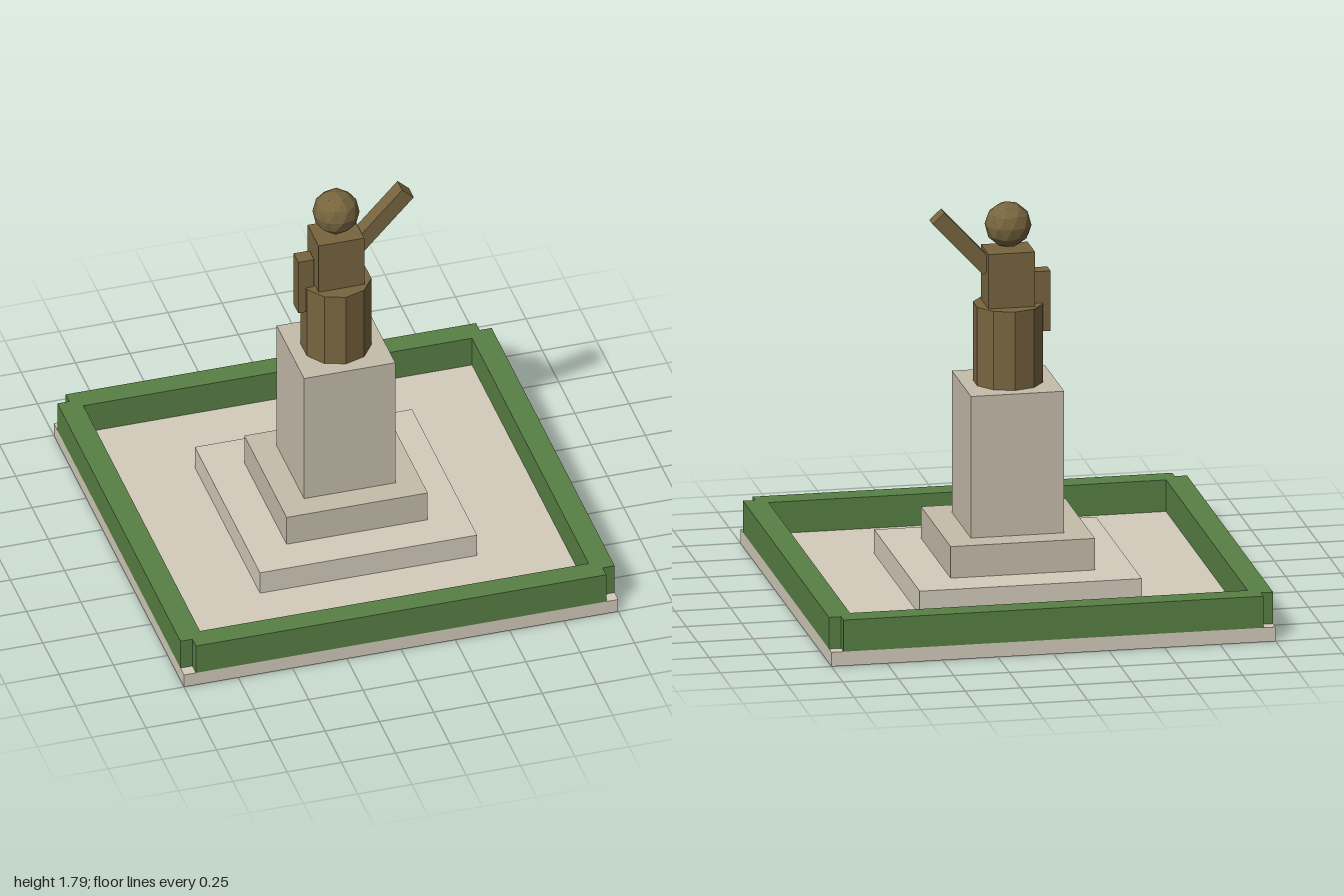
import * as THREE from 'three';

const material = (color) => new THREE.MeshStandardMaterial({ color, flatShading: true });

export function createModel() {
  const group = new THREE.Group();
  const paving = material(0xd4ccbc);
  const stone = material(0xc6bdab);
  const bronze = material(0x78653f);
  const leaf = material(0x588044);

  function add(name, geometry, mat, x, y, z) {
    const mesh = new THREE.Mesh(geometry, mat);
    mesh.name = name;
    mesh.position.set(x, y, z);
    group.add(mesh);
    return mesh;
  }

  // Box standing between two heights
  function block(name, mat, width, depth, y0, y1, x = 0, z = 0) {
    return add(name, new THREE.BoxGeometry(width, y1 - y0, depth), mat, x, (y0 + y1) / 2, z);
  }

  // Paved square and stepped pedestal
  block('base', paving, 2, 2, 0, 0.065);
  block('lowerStep', paving, 1, 1, 0.065, 0.175);
  block('upperStep', stone, 0.65, 0.65, 0.175, 0.32);
  block('pedestal', stone, 0.42, 0.42, 0.32, 0.97);

  // Hedges on all four sides, with notched outer corners
  for (const side of [-1, 1]) {
    block('hedgeAcross', leaf, 1.89, 0.105, 0.065, 0.21, 0, side * 0.9475);
    block('hedgeAlong', leaf, 0.105, 1.89, 0.065, 0.21, side * 0.9475, 0);
  }

  // Statue: ten-sided robe, torso and faceted head
  add('robe', new THREE.CylinderGeometry(0.156, 0.156, 0.36, 10), bronze, 0, 1.15, 0);
  block('torso', bronze, 0.21, 0.168, 1.33, 1.58);
  const head = add('head', new THREE.IcosahedronGeometry(0.104, 1), bronze, 0, 1.69, 0);
  head.rotation.z = -Math.atan(2 / (1 + Math.sqrt(5))); // a vertex points straight up

  // Arms: one hanging, one raised
  block('loweredArm', bronze, 0.073, 0.072, 1.2, 1.475, -0.148, 0);
  const raisedArm = add('raisedArm', new THREE.BoxGeometry(0.073, 0.336, 0.072), bronze, 0.206, 1.621, 0);
  raisedArm.rotation.z = -0.75;

  return group;
}
